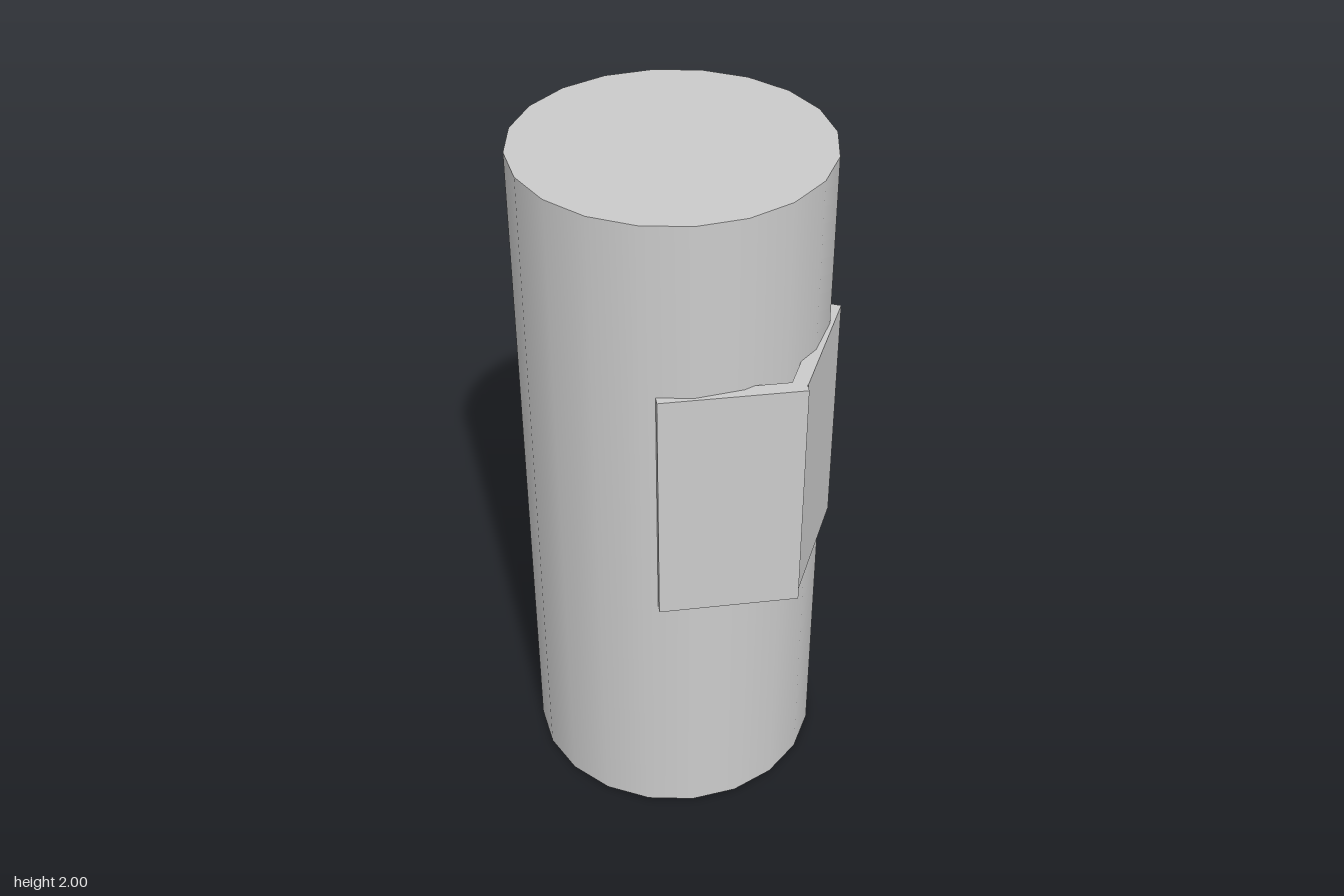
import * as THREE from 'three';

export function createModel() {
  const model = new THREE.Group();
  const material = new THREE.MeshStandardMaterial({ color: 0xcccccc });

  // Upright column, 20 sides, smooth shaded
  const column = new THREE.Mesh(new THREE.CylinderGeometry(0.428, 0.428, 2, 20), material);
  column.name = 'column';
  column.position.set(0, 1, -0.049);
  model.add(column);

  // Two thin boards meeting in a V in front of the column
  const addPanel = (name, x, z, degrees) => {
    const panel = new THREE.Mesh(new THREE.BoxGeometry(0.39, 0.71, 0.042), material);
    panel.name = name;
    panel.position.set(x, 1.15, z);
    panel.rotation.y = THREE.MathUtils.degToRad(degrees);
    model.add(panel);
  };
  addPanel('rightPanel', -0.164, 0.344, -35.2);
  addPanel('leftPanel', 0.1575, 0.339, 30);

  return model;
}
